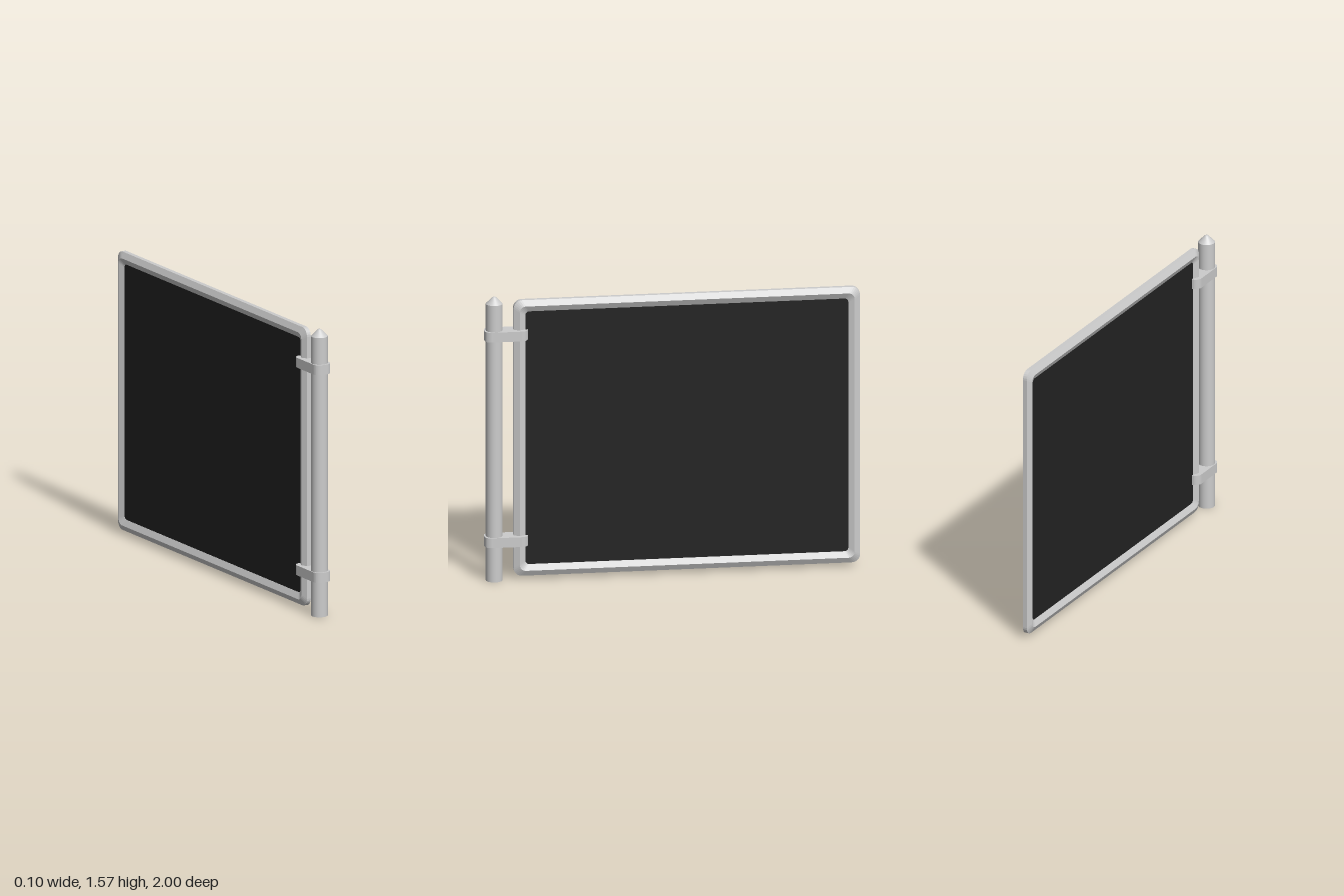
import * as THREE from 'three';

const metal = new THREE.MeshStandardMaterial({ color: 0xcccccc });
metal.name = 'light grey metal';
const dark = new THREE.MeshStandardMaterial({ color: 0x222222 });
dark.name = 'dark panel';

// Points of a rounded rectangle, anticlockwise
function roundedRect(a0, a1, b0, b1, r, steps = 6) {
  const pts = [];
  const corners = [[a1 - r, b1 - r], [a0 + r, b1 - r], [a0 + r, b0 + r], [a1 - r, b0 + r]];
  corners.forEach(([a, b], q) => {
    for (let i = 0; i <= steps; i++) {
      const t = (q + i / steps) * Math.PI / 2;
      pts.push(new THREE.Vector2(a + r * Math.cos(t), b + r * Math.sin(t)));
    }
  });
  return pts;
}

// Sign outline in the z-y plane, inset by d
const outline = (d) => roundedRect(-1 + d, 0.845 - d, 0.021 + d, 1.546 - d, 0.045 - d * 0.4);

// Six-sided bar swept round the outline: [inset, x]
function frameGeometry() {
  const profile = [[0, 0.012], [0.031, 0.028], [0.063, 0.012], [0.063, -0.012], [0.031, -0.028], [0, -0.012]];
  const loops = profile.map(([d, x]) => outline(d).map((p) => [x, p.y, p.x]));
  const pos = [];
  loops.forEach((A, k) => {
    const B = loops[(k + 1) % loops.length];
    A.forEach((p, i) => {
      const j = (i + 1) % A.length;
      pos.push(...p, ...B[i], ...A[j], ...A[j], ...B[i], ...B[j]);
    });
  });
  const g = new THREE.BufferGeometry();
  g.setAttribute('position', new THREE.Float32BufferAttribute(pos, 3));
  g.computeVertexNormals();
  return g;
}

export function createModel() {
  const group = new THREE.Group();
  const add = (name, geometry, material) => {
    const mesh = new THREE.Mesh(geometry, material);
    mesh.name = name;
    group.add(mesh);
    return mesh;
  };

  // Post with a pointed cap
  add('post', new THREE.CylinderGeometry(0.0445, 0.0445, 1.53, 32), metal).position.set(0, 0.765, 0.947);
  const cap = [[0.0445, 0], [0.012, 0.034], [0.006, 0.038], [0, 0.039]].map(([x, y]) => new THREE.Vector2(x, y));
  add('postCap', new THREE.LatheGeometry(cap, 32), metal).position.set(0, 1.53, 0.947);

  // Frame and the panel held in it
  add('frame', frameGeometry(), metal);
  const panel = new THREE.ExtrudeGeometry(new THREE.Shape(outline(0.061)), { depth: 0.022, bevelEnabled: false });
  panel.translate(0, 0, -0.011).rotateY(-Math.PI / 2);
  add('panel', panel, dark);

  // Brackets clamping the frame to the post
  for (const [name, y] of [['lowerBracket', 0.192], ['upperBracket', 1.33]]) {
    const shape = new THREE.Shape(roundedRect(-0.049, 0.049, -1, -0.77, 0.035));
    const g = new THREE.ExtrudeGeometry(shape, { depth: 0.054, bevelEnabled: false });
    g.rotateX(-Math.PI / 2);
    add(name, g, metal).position.y = y;
  }
  return group;
}
